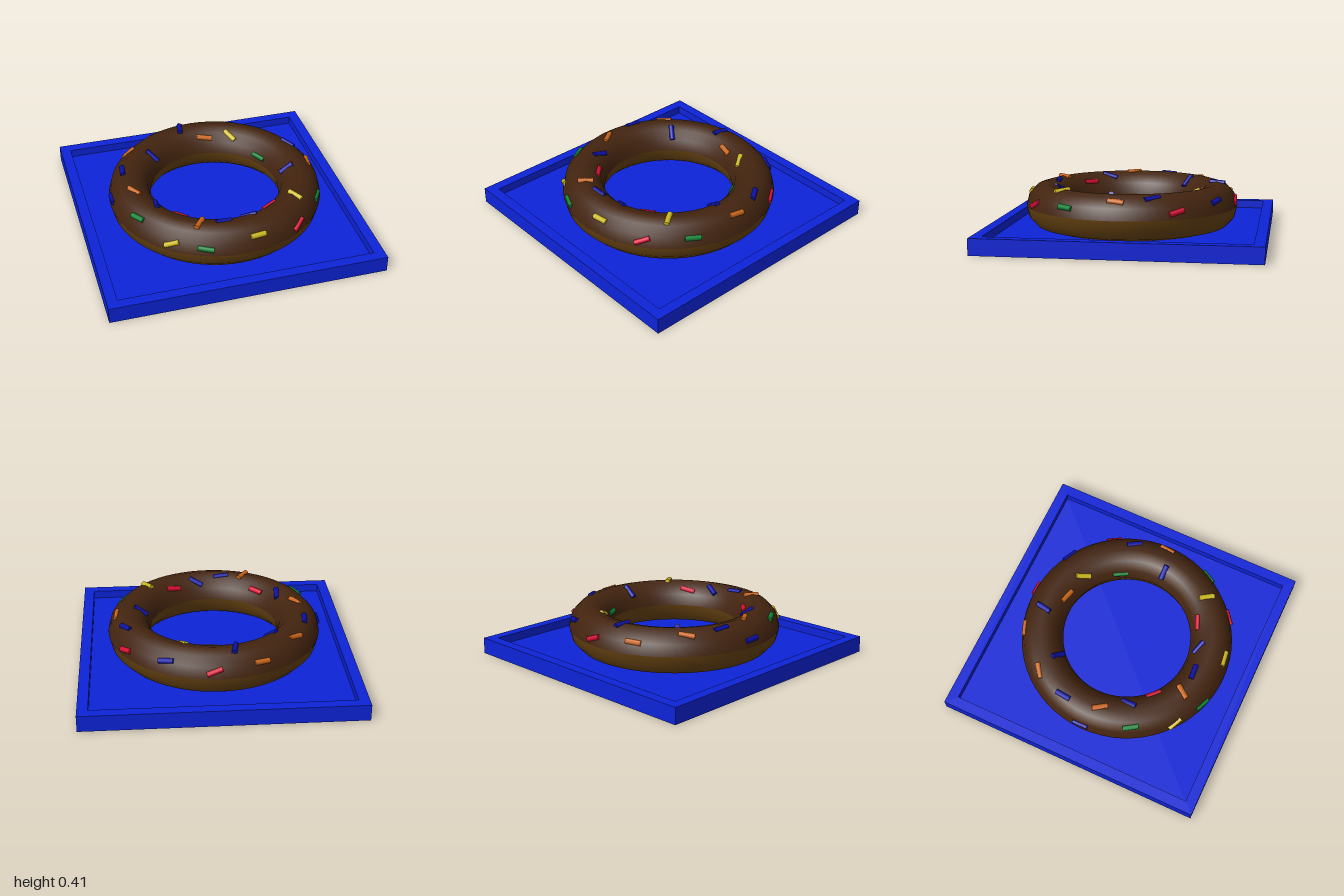
import * as THREE from 'three';

const mat = (name, color) => {
  const m = new THREE.MeshStandardMaterial({ color });
  m.name = name;
  return m;
};

// Ring dimensions: major radius, tube radius, tube half height, centre
const R = 0.63, TUBE = 0.155, HALF_H = 0.165;
const CENTRE = new THREE.Vector3(0.005, 0.225, 0.025);

export function createModel() {
  const group = new THREE.Group();
  const blue = mat('trayBlue', 0x0d23d8);
  const dough = mat('doughBrown', 0x6a4512);
  const icing = mat('chocolateIcing', 0x43240f);
  const colours = {
    b: mat('sprinkleBlue', 0x0b10a4),
    o: mat('sprinkleOrange', 0xcc661a),
    y: mat('sprinkleYellow', 0xccb81e),
    g: mat('sprinkleGreen', 0x0f8236),
    r: mat('sprinkleRed', 0xd81034),
  };
  const add = (name, geometry, material, parent = group) => {
    const mesh = new THREE.Mesh(geometry, material);
    mesh.name = name;
    parent.add(mesh);
    return mesh;
  };

  // Square tray: floor plate with a raised rim
  add('trayFloor', new THREE.BoxGeometry(2, 0.06, 2), blue).position.y = 0.03;
  const square = (path, h) =>
    path.moveTo(-h, -h).lineTo(h, -h).lineTo(h, h).lineTo(-h, h).closePath();
  const rim = square(new THREE.Shape(), 1);
  rim.holes.push(square(new THREE.Path(), 0.923));
  const rimGeo = new THREE.ExtrudeGeometry(rim, { depth: 0.06, bevelEnabled: false });
  rimGeo.rotateX(-Math.PI / 2);
  add('trayRim', rimGeo, blue).position.y = 0.06;

  // Doughnut: lower half dough, upper half icing
  const halfRing = (start) => {
    const pts = [];
    for (let i = 0; i <= 6; i++) {
      const a = start + (i / 6) * Math.PI;
      pts.push(new THREE.Vector2(R + TUBE * Math.cos(a), HALF_H * Math.sin(a)));
    }
    return new THREE.LatheGeometry(pts, 64);
  };
  add('doughRing', halfRing(Math.PI), dough).position.copy(CENTRE);
  add('icing', halfRing(0), icing).position.copy(CENTRE);

  // Sprinkles: colour, x, z, heading in degrees seen from above
  const sprinkles = [
    ['o', -0.285, -0.68, -21], ['r', 0.05, -0.75, -4], ['b', 0.385, -0.632, 24],
    ['b', -0.1, -0.605, 100], ['o', 0.07, -0.493, 14], ['y', 0.26, -0.45, 58],
    ['o', -0.55, -0.423, -37], ['b', -0.375, -0.348, 35], ['r', 0.67, -0.39, 54],
    ['b', 0.66, -0.214, 57], ['g', 0.412, -0.214, 60], ['b', -0.648, -0.18, 97],
    ['b', -0.771, 0.01, 90], ['o', 0.73, 0.03, 97], ['b', 0.54, 0.08, 3],
    ['o', -0.615, 0.1, 57], ['b', -0.493, 0.273, 93], ['r', -0.348, 0.4, 45],
    ['g', -0.653, 0.36, 58], ['g', 0.68, 0.396, -60], ['y', 0.487, 0.455, 55],
    ['r', 0.284, 0.466, -22], ['o', -0.262, 0.59, -53], ['b', -0.09, 0.6, -4],
    ['b', 0.107, 0.552, 20], ['y', -0.475, 0.635, 29], ['r', 0.45, 0.665, -43],
    ['g', -0.26, 0.757, 22], ['y', 0.115, 0.765, -8],
  ];
  const sprinkleGroup = new THREE.Group();
  sprinkleGroup.name = 'sprinkles';
  group.add(sprinkleGroup);
  const rod = new THREE.CylinderGeometry(0.02, 0.02, 0.115, 10);
  const up = new THREE.Vector3(0, 1, 0);
  for (const [c, x, z, heading] of sprinkles) {
    const out = new THREE.Vector3(x - CENTRE.x, 0, z - CENTRE.z);
    const cosP = THREE.MathUtils.clamp((out.length() - R) / TUBE, -0.95, 0.95);
    const sinP = Math.sqrt(1 - cosP * cosP);
    out.normalize();
    // Lay the rod in the icing's surface along its heading
    const h = THREE.MathUtils.degToRad(heading);
    const along = new THREE.Vector3(-out.z, 0, out.x);
    const over = out.clone().multiplyScalar(-sinP).addScaledVector(up, cosP);
    const flat = new THREE.Vector3(Math.cos(h), 0, Math.sin(h));
    const dir = along.clone().multiplyScalar(flat.dot(along))
      .addScaledVector(over, -flat.dot(out) / sinP).normalize();
    const mesh = add('sprinkle', rod, colours[c], sprinkleGroup);
    mesh.position.copy(CENTRE)
      .addScaledVector(out, R + (TUBE - 0.009) * cosP)
      .addScaledVector(up, (HALF_H - 0.009) * sinP);
    mesh.quaternion.setFromUnitVectors(up, dir);
  }
  return group;
}
